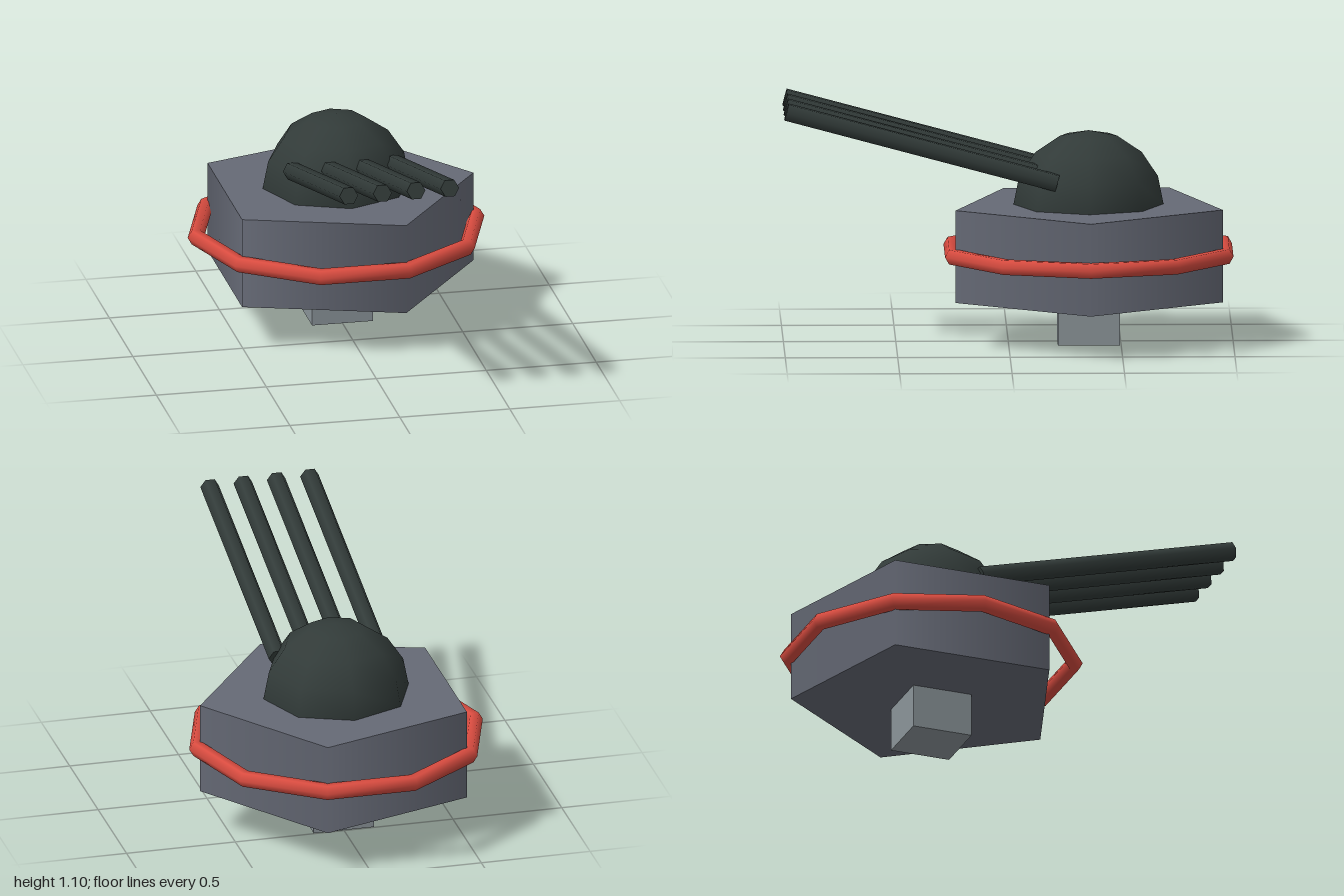
import * as THREE from 'three';

const paint = (name, color) => {
  const m = new THREE.MeshStandardMaterial({ color });
  m.name = name;
  return m;
};

export function createModel() {
  const slate = paint('slateGrey', 0x666a76);
  const red = paint('red', 0xd94c40);
  const dark = paint('darkGreen', 0x323b39);
  const steel = paint('lightSteel', 0x8b9499);

  const group = new THREE.Group();
  group.name = 'turret';
  const add = (name, geometry, material, x, y, z) => {
    const mesh = new THREE.Mesh(geometry, material);
    mesh.name = name;
    mesh.position.set(x, y, z);
    group.add(mesh);
    return mesh;
  };

  const axisZ = -0.357; // vertical axis shared by the base parts

  // Square mounting post
  add('mountingPost', new THREE.BoxGeometry(0.277, 0.2, 0.277), steel, 0, 0.1, axisZ);

  // Five-sided body with one corner towards +x
  const body = new THREE.CylinderGeometry(0.625, 0.625, 0.415, 5);
  body.rotateY(Math.PI / 2);
  add('body', body, slate, 0, 0.4075, axisZ);

  // Ten-sided ring around the body
  const ring = new THREE.TorusGeometry(0.637, 0.0375, 6, 10);
  ring.rotateX(Math.PI / 2);
  add('ring', ring, red, 0, 0.407, axisZ);

  // Dome on top
  const dome = new THREE.SphereGeometry(0.334, 8, 4, 0, Math.PI * 2, 0, Math.PI / 2);
  add('dome', dome, dark, 0, 0.613, axisZ);

  // Four hexagonal barrels, raised 15 degrees
  const barrel = new THREE.CylinderGeometry(0.0423, 0.0423, 1.247, 6);
  barrel.rotateY(Math.PI / 2);
  barrel.rotateX(Math.PI / 2 - Math.PI / 12);
  for (let i = 0; i < 4; i++) {
    add('barrel' + (i + 1), barrel, dark, (i - 1.5) * 0.153, 0.904, 0.388);
  }

  return group;
}
